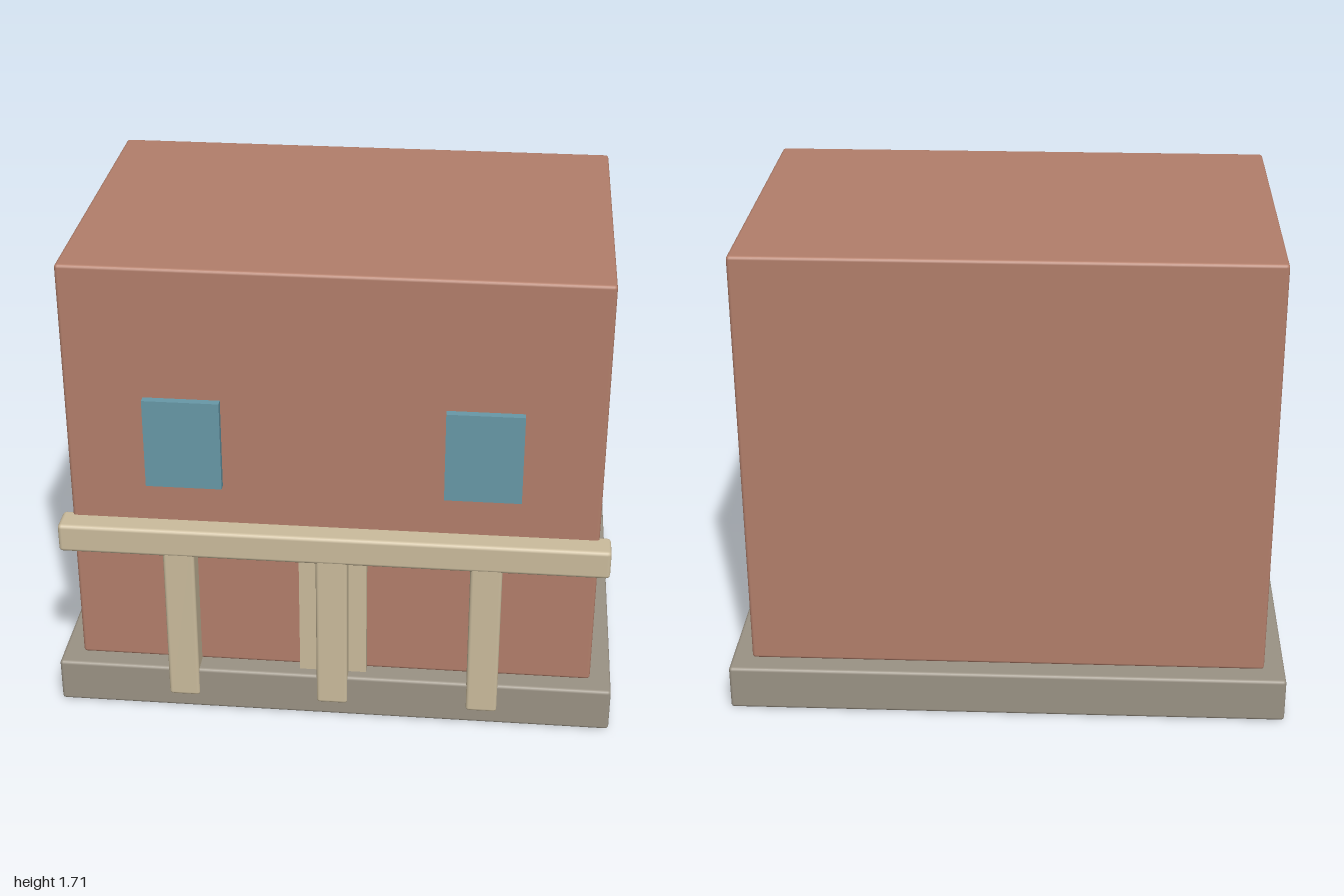
import * as THREE from 'three';
import { RoundedBoxGeometry } from 'three/addons/geometries/RoundedBoxGeometry.js';

function material(name, color) {
  const m = new THREE.MeshStandardMaterial({ color });
  m.name = name;
  return m;
}

export function createModel() {
  const brick = material('brick', 0xb37f6b);
  const stone = material('stone', 0x9b9385);
  const timber = material('timber', 0xcbbc9d);
  const glass = material('glass', 0x6899a8);

  const model = new THREE.Group();
  model.name = 'house';

  // Box given by its limits on each axis; a radius softens its edges
  function box(name, mat, [x0, x1], [y0, y1], [z0, z1], radius = 0) {
    const size = [x1 - x0, y1 - y0, z1 - z0];
    const geometry = radius
      ? new RoundedBoxGeometry(...size, 2, radius)
      : new THREE.BoxGeometry(...size);
    const mesh = new THREE.Mesh(geometry, mat);
    mesh.name = name;
    mesh.position.set((x0 + x1) / 2, (y0 + y1) / 2, (z0 + z1) / 2);
    model.add(mesh);
  }

  // Plinth and main block
  box('foundation', stone, [-1, 1], [0, 0.165], [-0.695, 0.685], 0.012);
  box('walls', brick, [-0.925, 0.925], [0.165, 1.71], [-0.62, 0.615], 0.012);

  // Door behind the middle post
  box('door', timber, [-0.12, 0.12], [0.165, 0.645], [0.6, 0.645]);

  // Porch beam and its posts
  box('porchBeam', timber, [-0.965, 0.965], [0.645, 0.752], [0.588, 0.695], 0.014);
  for (const x of [-0.54, 0, 0.54]) {
    box('porchPost', timber, [x - 0.056, x + 0.056], [0.053, 0.7], [0.588, 0.693], 0.012);
  }

  // Upper windows, mirrored
  for (const x of [-0.518, 0.518]) {
    box('window', glass, [x - 0.133, x + 0.133], [0.9, 1.232], [0.6, 0.643]);
  }

  return model;
}
